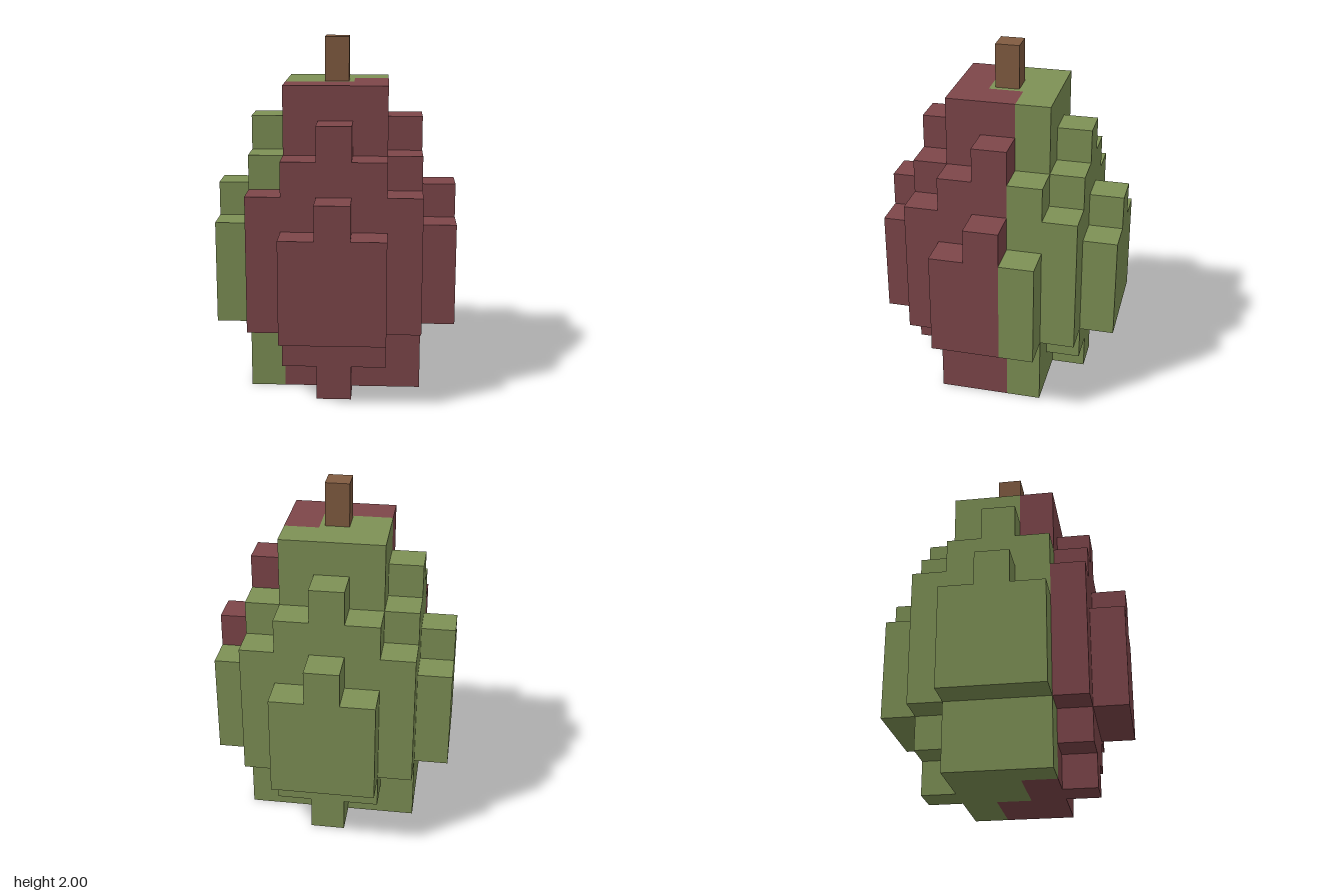
import * as THREE from 'three';

const U = 0.1945; // edge of one block

const skinRed = new THREE.MeshStandardMaterial({ color: 0x7e464a });
skinRed.name = 'skin red';
const skinGreen = new THREE.MeshStandardMaterial({ color: 0x7e9155 });
skinGreen.name = 'skin green';
const stemBrown = new THREE.MeshStandardMaterial({ color: 0x815c41 });
stemBrown.name = 'stem brown';

// Bottom and top layer of the block column at cell (x, z), or null outside the fruit
function column(x, z) {
  const ax = Math.abs(x), az = Math.abs(z);
  const far = Math.max(ax, az), near = Math.min(ax, az);
  if (far <= 1) return [0, 9];
  if (far === 2) {
    if (near === 0) return [0, 8];
    if (near === 2) return [2, 6];
    return az === 2 ? [1, 7] : [0, 7];
  }
  if (far === 3 && near <= 1) return near === 0 ? [2, 6] : [2, 5];
  return null;
}

// The ripe side wraps the front and the left
const isRed = (x, z) => z >= 2 || (z >= 1 && x >= -1) || (z >= 0 && x >= 1);

// Outer faces of all columns of one colour
function skinGeometry(red) {
  const positions = [], normals = [];
  const quad = (a, b, c, d, n) => {
    for (const p of [a, b, c, a, c, d]) {
      positions.push(p[0] * U, p[1] * U, p[2] * U);
      normals.push(...n);
    }
  };
  for (let x = -3; x <= 3; x++) {
    for (let z = -3; z <= 3; z++) {
      const range = column(x, z);
      if (!range || isRed(x, z) !== red) continue;
      const [lo, hi] = range;
      const x0 = x - 0.5, x1 = x + 0.5, z0 = z - 0.5, z1 = z + 0.5;
      // Top and underside
      quad([x0, hi, z1], [x1, hi, z1], [x1, hi, z0], [x0, hi, z0], [0, 1, 0]);
      quad([x0, lo, z0], [x1, lo, z0], [x1, lo, z1], [x0, lo, z1], [0, -1, 0]);
      // Sides, only where the neighbouring column does not cover them
      for (const [dx, dz] of [[1, 0], [-1, 0], [0, 1], [0, -1]]) {
        const next = column(x + dx, z + dz);
        const spans = next
          ? [[lo, Math.min(hi, next[0])], [Math.max(lo, next[1]), hi]]
          : [[lo, hi]];
        // Left and right corners of the side as seen from outside
        const cx = x + dx / 2, cz = z + dz / 2;
        const l = [cx - dz / 2, cz + dx / 2], r = [cx + dz / 2, cz - dx / 2];
        for (const [b, t] of spans) {
          if (t <= b) continue;
          quad([l[0], b, l[1]], [r[0], b, r[1]], [r[0], t, r[1]], [l[0], t, l[1]], [dx, 0, dz]);
        }
      }
    }
  }
  const g = new THREE.BufferGeometry();
  g.setAttribute('position', new THREE.Float32BufferAttribute(positions, 3));
  g.setAttribute('normal', new THREE.Float32BufferAttribute(normals, 3));
  return g;
}

export function createModel() {
  const model = new THREE.Group();
  model.name = 'blockFruit';

  const add = (name, geometry, material) => {
    const mesh = new THREE.Mesh(geometry, material);
    mesh.name = name;
    model.add(mesh);
    return mesh;
  };

  // Two-coloured body
  add('redSkin', skinGeometry(true), skinRed);
  add('greenSkin', skinGeometry(false), skinGreen);

  // Stem standing on the flat top
  const top = 9 * U;
  const stem = add('stem', new THREE.BoxGeometry(0.136, 2 - top, 0.136), stemBrown);
  stem.position.y = (2 + top) / 2;

  return model;
}
